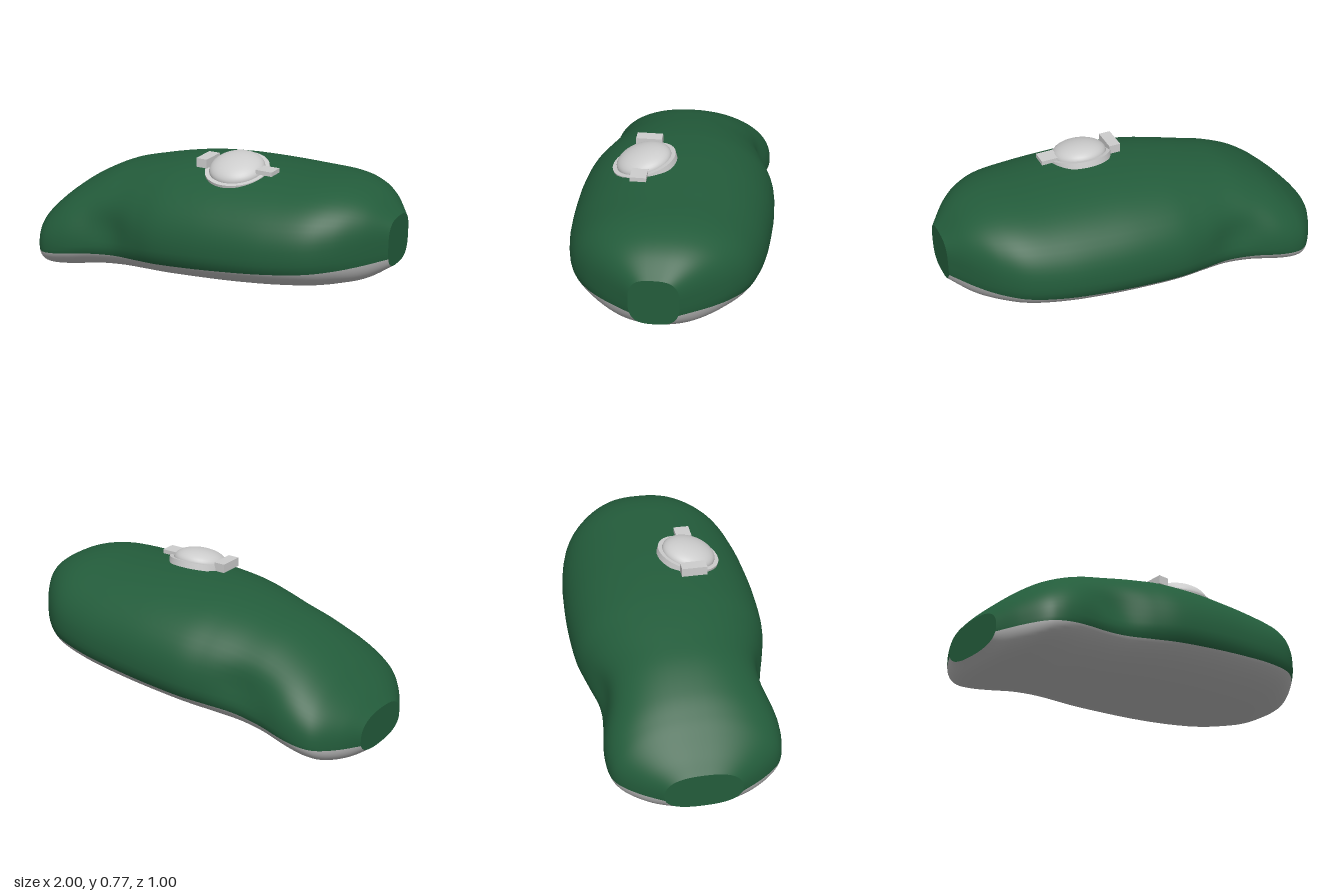
import * as THREE from 'three';

const material = (name, color) => Object.assign(new THREE.MeshStandardMaterial({ color }), { name });

// Stations along the body: x, top, bottom, half width, height fraction of widest point, roundness exponent
const STATIONS = [
  [-1.0, 0.24, 0.05, 0.19, 0.45, 2.5],
  [-0.94, 0.305, 0.015, 0.3, 0.42, 2.4],
  [-0.87, 0.37, 0.0, 0.39, 0.4, 2.3],
  [-0.8, 0.43, 0.006, 0.425, 0.37, 2.25],
  [-0.7, 0.5, 0.02, 0.433, 0.36, 2.2],
  [-0.55, 0.575, 0.045, 0.418, 0.36, 2.2],
  [-0.4, 0.62, 0.06, 0.422, 0.38, 2.2],
  [-0.25, 0.655, 0.075, 0.455, 0.39, 2.2],
  [-0.1, 0.68, 0.09, 0.488, 0.4, 2.2],
  [0.1, 0.697, 0.11, 0.5, 0.4, 2.2],
  [0.3, 0.702, 0.13, 0.496, 0.4, 2.2],
  [0.5, 0.702, 0.155, 0.48, 0.4, 2.2],
  [0.68, 0.7, 0.182, 0.438, 0.41, 2.25],
  [0.8, 0.68, 0.208, 0.365, 0.43, 2.35],
  [0.9, 0.635, 0.24, 0.26, 0.46, 2.6],
  [1.0, 0.55, 0.305, 0.12, 0.5, 3.0],
];
const RINGS = 110, HALF = 36, COLS = HALF * 2;

const spline = (k) => new THREE.CatmullRomCurve3(
  STATIONS.map((s) => new THREE.Vector3(s[k], s[k + 1], s[k + 2])), false, 'catmullrom', 0.5);
const outline = spline(0), fullness = spline(3);

// Height of the colour line between the upper and the sole
const seamHeight = (x) => 0.245 + 0.118 * x - 0.045 * Math.max(0, -x - 0.6);
const power = (v, e) => Math.sign(v) * Math.abs(v) ** e;

// One cross-section: the first HALF columns cover the upper, the others the sole
function ring(t) {
  const { x, y: top, z: bottom } = outline.getPoint(t);
  const { x: width, y: f, z: n } = fullness.getPoint(t);
  const middle = bottom + f * (top - bottom);
  const rise = (s) => (s > 0 ? top - middle : middle - bottom);
  const d = seamHeight(x) - middle;
  const s = THREE.MathUtils.clamp(d / rise(d), -0.97, 0.97);
  const a0 = Math.asin(power(s, n / 2));
  const points = [];
  for (let j = 0; j < COLS; j++) {
    const a = j < HALF
      ? a0 + (j / HALF) * (Math.PI - 2 * a0)
      : Math.PI - a0 + ((j - HALF) / HALF) * (Math.PI + 2 * a0);
    const sy = Math.sin(a);
    const y = middle + rise(sy) * power(sy, 2 / n);
    // Shallow hollow on both sides of the waist
    const dent = 1 - 0.07 * Math.exp(-(((x + 0.45) / 0.15) ** 2) - ((y - 0.34) / 0.1) ** 2);
    points.push([x, y, width * dent * power(Math.cos(a), 2 / n)]);
  }
  return points;
}

function bodyGeometry() {
  const positions = [], upper = [], sole = [];
  for (let i = 0; i <= RINGS; i++) positions.push(...ring(i / RINGS).flat());
  for (let i = 0; i < RINGS; i++) {
    for (let j = 0; j < COLS; j++) {
      const a = i * COLS + j, b = i * COLS + ((j + 1) % COLS);
      (j < HALF ? upper : sole).push(a, a + COLS, b, b, a + COLS, b + COLS);
    }
  }
  const g = new THREE.BufferGeometry();
  g.setAttribute('position', new THREE.Float32BufferAttribute(positions, 3));
  g.setIndex([...upper, ...sole]);
  g.addGroup(0, upper.length, 0);
  g.addGroup(upper.length, sole.length, 1);
  g.computeVertexNormals();
  return g;
}

// Flat disc closing one end of the body
function capGeometry(t) {
  const points = ring(t), index = [];
  const { x, y, z } = outline.getPoint(t);
  points.push([x, (y + z) / 2, 0]);
  for (let j = 0; j < COLS; j++) {
    const k = (j + 1) % COLS;
    index.push(COLS, ...(t === 1 ? [k, j] : [j, k]));
  }
  const g = new THREE.BufferGeometry();
  g.setAttribute('position', new THREE.Float32BufferAttribute(points.flat(), 3));
  g.setIndex(index);
  g.computeVertexNormals();
  return g;
}

export function createModel() {
  const model = new THREE.Group();
  const green = material('dark green', 0x235c3b);
  const grey = material('sole grey', 0xb4b4b4);
  const silver = material('silver', 0xcccccc);

  const add = (parent, name, geometry, mat, x = 0, y = 0, z = 0) => {
    const mesh = new THREE.Mesh(geometry, mat);
    mesh.name = name;
    mesh.position.set(x, y, z);
    parent.add(mesh);
    return mesh;
  };

  // Body
  add(model, 'body', bodyGeometry(), [green, grey]);
  add(model, 'leftEnd', capGeometry(1), green);
  add(model, 'rightEnd', capGeometry(0), green);

  // Round fitting, tilted to lie on the curved top
  const fitting = new THREE.Group();
  fitting.name = 'fitting';
  fitting.position.set(0.19, 0.695, 0.15);
  fitting.rotation.x = 0.26;
  model.add(fitting);
  add(fitting, 'fittingBase', new THREE.CylinderGeometry(0.162, 0.162, 0.032, 48), silver, 0, -0.014, 0);
  const dome = new THREE.SphereGeometry(0.14, 48, 12, 0, Math.PI * 2, 0, Math.PI / 2);
  add(fitting, 'fittingDome', dome.scale(1, 0.47, 1), silver, 0, 0.002, 0);

  // Side lugs
  add(model, 'leftLug', new THREE.BoxGeometry(0.09, 0.022, 0.08), silver, 0.36, 0.711, 0.152);
  add(model, 'rightLug', new THREE.BoxGeometry(0.06, 0.046, 0.13), silver, 0.02, 0.712, 0.145);
  return model;
}
